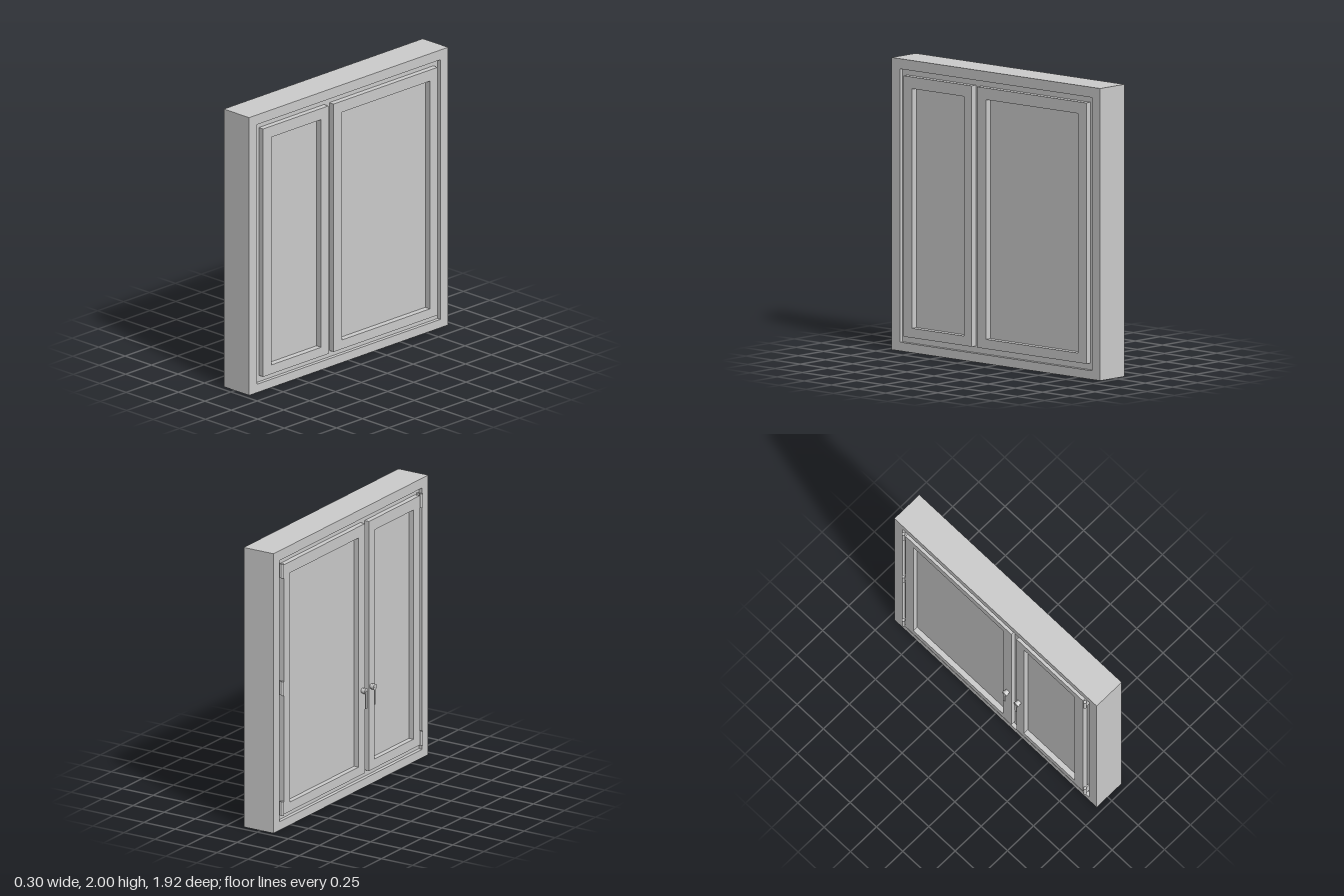
import * as THREE from 'three';

const grey = new THREE.MeshStandardMaterial({ color: 0xcccccc });

// Rectangle as [z0, z1, y0, y1]; shapes are drawn in (-z, y) and extruded along x
const corners = ([z0, z1, y0, y1]) => [[-z1, y0], [-z0, y0], [-z0, y1], [-z1, y1]]
  .map(([a, b]) => new THREE.Vector2(a, b));

function panel(name, outer, holes, x0, x1) {
  const shape = new THREE.Shape(corners(outer));
  holes.forEach((h) => shape.holes.push(new THREE.Path(corners(h))));
  const geo = new THREE.ExtrudeGeometry(shape, { depth: x1 - x0, bevelEnabled: false });
  geo.rotateY(Math.PI / 2).translate(x0, 0, 0);
  const mesh = new THREE.Mesh(geo, grey);
  mesh.name = name;
  return mesh;
}

function box(name, sx, sy, sz, x, y, z) {
  const mesh = new THREE.Mesh(new THREE.BoxGeometry(sx, sy, sz), grey);
  mesh.position.set(x, y, z);
  mesh.name = name;
  return mesh;
}

function cylinder(name, radius, length, x, y, z, alongX = false) {
  const geo = new THREE.CylinderGeometry(radius, radius, length, 20);
  if (alongX) geo.rotateZ(Math.PI / 2);
  const mesh = new THREE.Mesh(geo, grey);
  mesh.position.set(x, y, z);
  mesh.name = name;
  return mesh;
}

// Turn knob on the inner face with a flat lever hanging from it
function handle(z) {
  const g = new THREE.Group();
  g.name = 'handle';
  g.add(cylinder('handleStem', 0.017, 0.02, -0.122, 0.705, z, true));
  g.add(cylinder('handleKnob', 0.021, 0.02, -0.138, 0.705, z, true));
  g.add(box('handleLever', 0.006, 0.125, 0.018, -0.147, 0.643, z));
  return g;
}

export function createModel() {
  const model = new THREE.Group();
  model.name = 'window';

  const rebate = [-0.885, 0.885, 0.06, 1.93];
  const sashes = [
    { name: 'wideSash', outer: [-0.845, 0.16, 0.105, 1.89], glass: [-0.77, 0.08, 0.17, 1.81] },
    { name: 'narrowSash', outer: [0.21, 0.84, 0.105, 1.89], glass: [0.28, 0.76, 0.17, 1.81] },
  ];

  // Fixed frame: outer surround and the set-back core with its mullion
  model.add(panel('outerFrame', [-0.96, 0.96, 0, 2], [rebate], -0.105, 0.135));
  model.add(panel('innerFrame', rebate, sashes.map((s) => s.outer), -0.078, 0.108));

  // Opening sashes with glazing
  for (const s of sashes) {
    const g = new THREE.Group();
    g.name = s.name;
    g.add(panel('sashFrame', s.outer, [s.glass], -0.115, 0.149));
    g.add(panel('glass', s.glass, [], -0.078, 0.105));
    model.add(g);
  }

  // Hinges down both outer edges of the inner face
  for (const [z, heights] of [[-0.863, [0.15, 1.01, 1.85]], [0.858, [0.15, 1.85]]]) {
    for (const y of heights) {
      const g = new THREE.Group();
      g.name = 'hinge';
      g.add(cylinder('hingeBarrel', 0.011, 0.1, -0.115, y, z));
      g.add(box('hingeLeaf', 0.035, 0.1, 0.008, -0.095, y, z));
      model.add(g);
    }
  }

  for (const z of [0.125, 0.235]) model.add(handle(z));

  return model;
}
